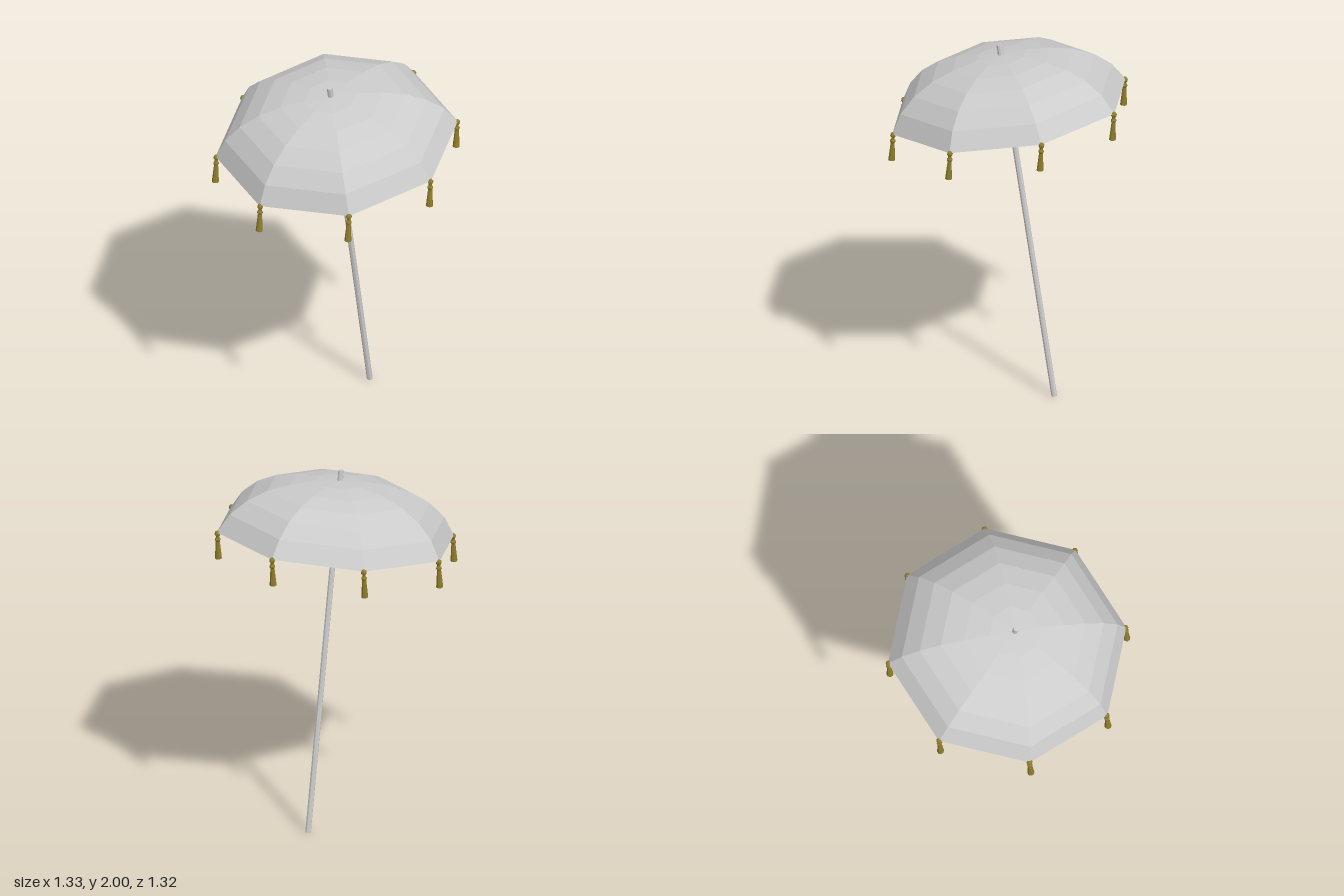
import * as THREE from 'three';

const TILT = 0.166;   // lean of the pole and canopy
const RIM = 1.667;    // rim height along the pole
const SIDES = 8;
const RADIUS = 0.65;

const grey = new THREE.MeshStandardMaterial({ color: 0xcccccc, flatShading: true });
const cloth = new THREE.MeshStandardMaterial({ color: 0xcccccc, flatShading: true, side: THREE.DoubleSide });
const gold = new THREE.MeshStandardMaterial({ color: 0x8f7d2c, flatShading: true });

function lathe(name, points, sides, material) {
  const profile = points.map(([r, y]) => new THREE.Vector2(r, y));
  const mesh = new THREE.Mesh(new THREE.LatheGeometry(profile, sides), material);
  mesh.name = name;
  return mesh;
}

function cylinder(name, rTop, rBottom, height, y) {
  const mesh = new THREE.Mesh(new THREE.CylinderGeometry(rTop, rBottom, height, 8), grey);
  mesh.position.y = y;
  mesh.name = name;
  return mesh;
}

// Tassel hanging from its bead at the origin
function createTassel() {
  const tassel = new THREE.Group();
  tassel.name = 'tassel';
  const bead = new THREE.Mesh(new THREE.SphereGeometry(0.016, 8, 6), gold);
  bead.name = 'tasselBead';
  const skirt = lathe('tasselSkirt', [
    [0, -0.148], [0.019, -0.148], [0.011, -0.045], [0.015, -0.039],
    [0.015, -0.031], [0.009, -0.025], [0.009, -0.008], [0, -0.008],
  ], 8, gold);
  tassel.add(bead, skirt);
  return tassel;
}

export function createModel() {
  const model = new THREE.Group();
  model.name = 'parasol';

  // Leaning pole with canopy
  const leaning = new THREE.Group();
  leaning.name = 'leaningParasol';
  leaning.position.set(0, 0.003, -0.272);
  leaning.rotation.x = TILT;
  model.add(leaning);

  leaning.add(cylinder('pole', 0.0155, 0.0155, 2.022, 1.011));
  leaning.add(cylinder('runnerCollar', 0.023, 0.023, 0.035, 1.83));

  // Eight-panel dome, open below
  const canopy = lathe('canopy', [
    [RADIUS, 0], [0.589, 0.1], [0.502, 0.178], [0.395, 0.235],
    [0.274, 0.271], [0.14, 0.293], [0, 0.3],
  ], SIDES, cloth);
  canopy.position.y = RIM;
  leaning.add(canopy);

  // One tassel under each rib tip, hanging almost plumb
  leaning.updateMatrix();
  for (let i = 0; i < SIDES; i++) {
    const a = (i / SIDES) * Math.PI * 2;
    const tassel = createTassel();
    tassel.position.set(Math.sin(a) * (RADIUS - 0.004), RIM - 0.005, Math.cos(a) * (RADIUS - 0.004));
    tassel.position.applyMatrix4(leaning.matrix);
    tassel.rotation.x = -0.06;
    model.add(tassel);
  }
  return model;
}
